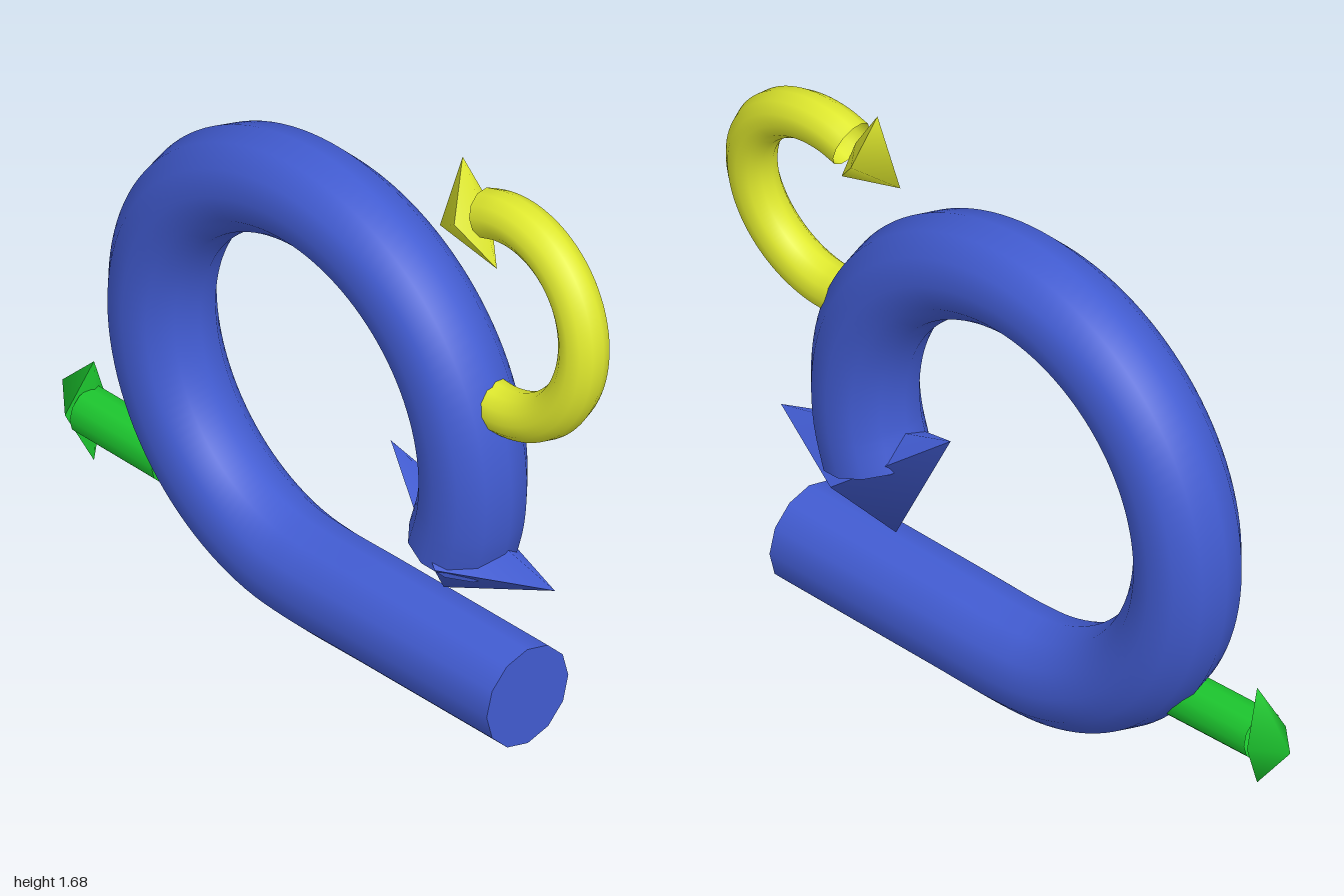
import * as THREE from 'three';

const V = (x, y, z) => new THREE.Vector3(x, y, z);
const rad = THREE.MathUtils.degToRad;

// Points of an arc in the y-z plane; side = 1 or -1 mirrors z, tilt(y, z) gives x.
function arcPoints(cy, cz, r, from, to, steps, side, tilt) {
  const pts = [];
  for (let i = 0; i <= steps; i++) {
    const a = rad(from + (to - from) * i / steps);
    const y = cy + r * Math.sin(a), z = cz + side * r * Math.cos(a);
    pts.push(V(tilt(y, z), y, z));
  }
  return pts;
}

// Round shaft along the points, closed at its start.
function shaft(name, points, radius, segments, material) {
  const group = new THREE.Group();
  group.name = name;
  const curve = new THREE.CatmullRomCurve3(points);
  const tube = new THREE.Mesh(new THREE.TubeGeometry(curve, segments, radius, 12), material);
  tube.name = name + 'Tube';
  const cap = new THREE.Mesh(new THREE.CircleGeometry(radius, 12), material);
  cap.name = name + 'EndCap';
  cap.position.copy(points[0]);
  cap.quaternion.setFromUnitVectors(V(0, 0, 1), curve.getTangentAt(0).negate());
  group.add(tube, cap);
  return group;
}

// Barbed head: a tip, a ring of four corners (side, fin, side, fin) and a notch at the back.
function arrowHead(name, tip, ring, notch, material) {
  const front = [tip, ...ring], back = [notch, ...ring];
  const index = [];
  for (let i = 0; i < 4; i++) {
    const a = 1 + i, b = 1 + (i + 1) % 4;
    index.push(0, a, b, 5, 5 + b, 5 + a);
  }
  const geometry = new THREE.BufferGeometry().setFromPoints([...front, ...back]);
  geometry.setIndex(index);
  geometry.computeVertexNormals();
  const mesh = new THREE.Mesh(geometry, material);
  mesh.name = name;
  return mesh;
}

export function createModel() {
  const model = new THREE.Group();
  model.name = 'loopArrows';
  const paint = (color) => new THREE.MeshStandardMaterial({ color, side: THREE.DoubleSide });
  const blue = paint(0x425cd2), yellow = paint(0xdfe92e), green = paint(0x1cc52e);

  // Large loop: straight run-in, then most of a circle
  const lean = (y, z) => -0.017 * z;
  const loop = [0.77, 0.5, 0.22].map((z) => V(lean(0, z), 0.152 + 0.007 * z, z));
  loop.push(...arcPoints(0.75, -0.037, 0.598, -90, 202, 24, -1, lean));
  model.add(shaft('largeLoop', loop, 0.148, 120, blue));
  model.add(arrowHead('largeLoopHead', V(0.01, 0.33, 0.43),
    [V(0.135, 0.48, 0.55), V(0, 0.53, 0.86), V(-0.16, 0.53, 0.57), V(0, 0.71, 0.24)],
    V(0, 0.61, 0.54), blue));

  // Small curved arrow on the front of the loop
  const slant = (y) => 0.035 + 0.1 * (y - 1.29);
  model.add(shaft('curvedArrow',
    arcPoints(1.29, 0.65, 0.282, -98, 112, 18, 1, slant), 0.069, 60, yellow));
  model.add(arrowHead('curvedArrowHead', V(0.025, 1.46, 0.4),
    [V(0.12, 1.53, 0.49), V(0.04, 1.41, 0.6), V(-0.02, 1.53, 0.5), V(0.06, 1.685, 0.45)],
    V(0.05, 1.55, 0.54), yellow));

  // Short straight arrow at the back
  model.add(shaft('straightArrow',
    [V(-0.03, 0.28, -0.56), V(-0.03, 0.283, -0.71), V(-0.03, 0.286, -0.87)], 0.07, 6, green));
  model.add(arrowHead('straightArrowHead', V(0, 0.305, -1),
    [V(0.05, 0.29, -0.89), V(-0.025, 0.13, -0.855), V(-0.098, 0.29, -0.89), V(-0.02, 0.44, -0.86)],
    V(-0.025, 0.286, -0.85), green));

  return model;
}
